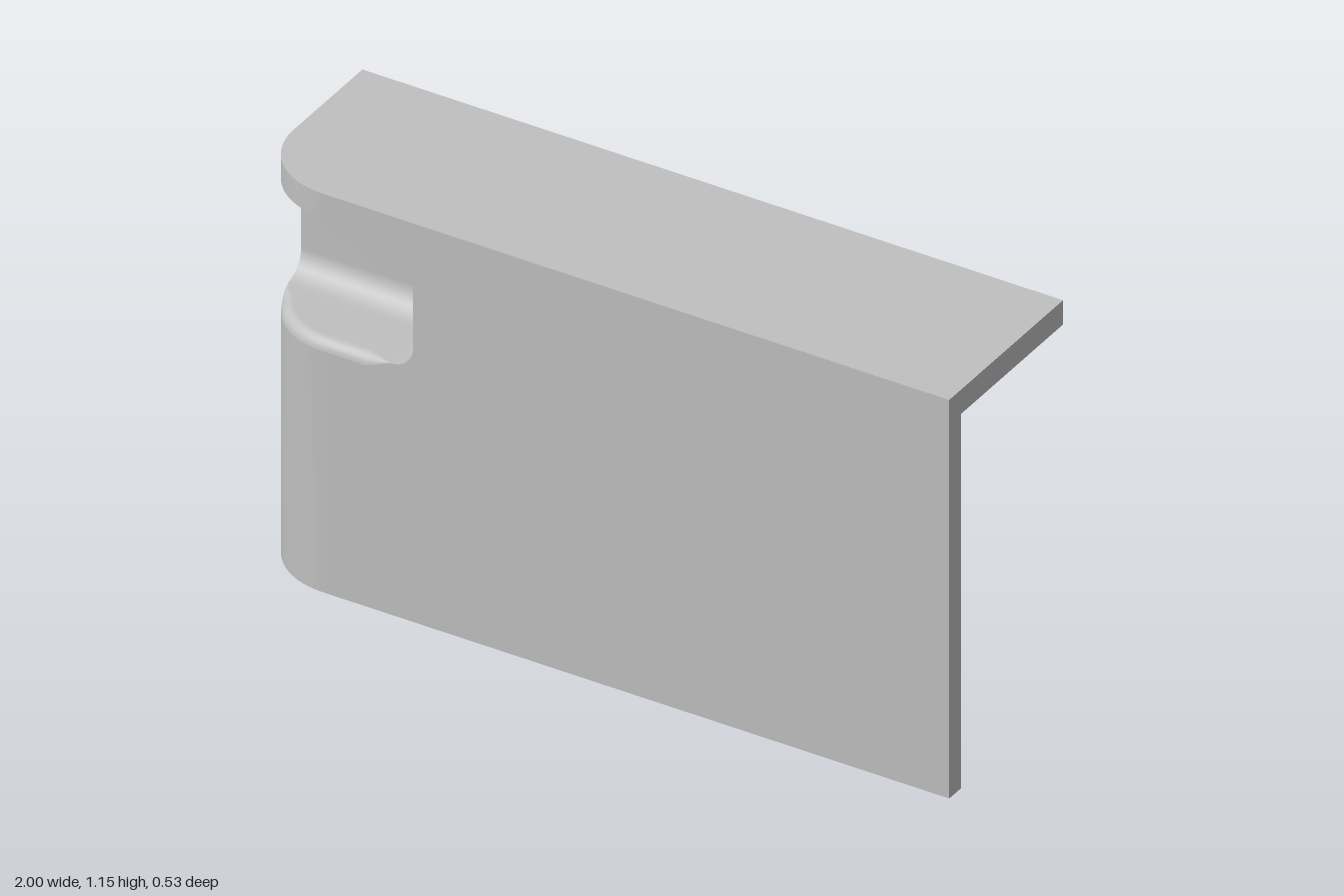
import * as THREE from 'three';

const W = 1, D = 0.265, H = 1.15, CEIL = 1.08;   // half width, half depth, heights
const CX = -0.79, CZ = 0.055;                    // axis of the rounded corner
const ARC = 20, N = ARC + 3, FLAT = 8;           // points per recess ring
const V = (x, y, z) => new THREE.Vector3(x, y, z);

// Smooth surface through equal-length rows of points
function grid(rows) {
  const n = rows[0].length, index = [];
  for (let r = 0; r < rows.length - 1; r++) {
    for (let i = 0; i < n - 1; i++) {
      const a = r * n + i, b = a + n;
      index.push(a, b, a + 1, a + 1, b, b + 1);
    }
  }
  const g = new THREE.BufferGeometry().setFromPoints(rows.flat());
  g.setIndex(index);
  g.computeVertexNormals();
  return g;
}

// One skin of the shell: R is the corner radius, the rest describes the recess
function skin({ R, xr, zb, floor, fillet, corner, lip }) {
  const front = CZ + R, side = CX - R;
  const edgeX = z => (z <= CZ ? side : CX - Math.sqrt(R * R - (z - CZ) ** 2));

  // Recess outline at a given inset and height, from front wall to side wall
  const ring = (inset, y) => {
    const pts = [V(xr - inset, y, front)], r = corner - inset;
    for (let i = 0; i <= ARC; i++) {
      const t = (i / ARC) * Math.PI / 2;
      pts.push(V(xr - corner + r * Math.cos(t), y, zb + corner - r * Math.sin(t)));
    }
    pts.push(V(edgeX(zb + inset), y, zb + inset));
    return pts;
  };

  // Recess walls and the fillet into its floor
  const rows = [ring(0, CEIL)];
  for (let i = 0; i <= 8; i++) {
    const a = (i / 8) * Math.PI / 2;
    rows.push(ring(fillet * (1 - Math.cos(a)), floor + fillet * (1 - Math.sin(a))));
  }
  const filletRows = rows.slice(1);

  // Floor edge along the wall, with a lip that fades out at both ends
  const endAngle = Math.asin((zb + fillet - CZ) / R);
  const edge = b => Array.from({ length: N }, (_, i) => {
    const l = lip * Math.min(1, 2.5 * Math.sin(Math.PI * i / (N - 1)));
    const inset = l * (1 - Math.sin(b)), y = floor - l * (1 - Math.cos(b));
    if (i < FLAT) {
      return V(THREE.MathUtils.lerp(xr - fillet, CX, i / FLAT), y, front - inset);
    }
    const p = THREE.MathUtils.lerp(Math.PI / 2, endAngle, (i - FLAT) / (N - 1 - FLAT));
    return V(CX - (R - inset) * Math.cos(p), y, CZ + (R - inset) * Math.sin(p));
  });
  const steps = lip ? 5 : 0;
  for (let i = 0; i < steps; i++) rows.push(edge((i / steps) * Math.PI / 2));
  const rim = edge(Math.PI / 2);
  rows.push(rim);

  // Upper border of the wall, following the recess opening
  const top = [
    V(W, CEIL, front), V(xr, CEIL, front),
    ...filletRows.map(r => r[0]),
    ...rim,
    ...filletRows.map(r => r[N - 1]).reverse(),
    V(side, CEIL, zb), V(side, CEIL, -D),
  ];
  const base = top.map(p => V(p.x, 0, p.z));
  return { recess: rows, top, base };
}

// Plan of the top plate, with an optional slot in its back edge
function plateShape(slot) {
  const s = new THREE.Shape();
  s.moveTo(W, -D);
  s.lineTo(W, D);
  if (slot) {
    for (const [x, y] of [[-0.81, D], [-0.81, D - 0.03], [-0.905, D - 0.03], [-0.905, D]]) s.lineTo(x, y);
  }
  s.lineTo(-W, D);
  s.lineTo(-W, -CZ);
  s.absarc(CX, -CZ, 0.21, Math.PI, Math.PI * 1.5, false);
  s.closePath();
  return s;
}

export function createModel() {
  const grey = new THREE.MeshStandardMaterial({ color: 0xc0c0c0, side: THREE.DoubleSide });
  grey.name = 'grey';
  const model = new THREE.Group();
  model.name = 'cornerPanel';
  const add = (name, geometry) => {
    const m = new THREE.Mesh(geometry, grey);
    m.name = name;
    model.add(m);
    return m;
  };

  // Top plate in three layers, the middle one slotted
  const levels = [CEIL, 1.102, 1.128, H];
  ['plateBottom', 'plateSlotLayer', 'plateTop'].forEach((name, i) => {
    const g = new THREE.ExtrudeGeometry(plateShape(i === 1), {
      depth: levels[i + 1] - levels[i], bevelEnabled: false, curveSegments: 28,
    });
    add(name, g.rotateX(-Math.PI / 2).translate(0, levels[i], 0));
  });

  // Outer and inner skins of the wall and recess
  const outer = skin({ R: 0.21, xr: -0.53, zb: 0.02, floor: 0.725, fillet: 0.065, corner: 0.1, lip: 0.03 });
  const inner = skin({ R: 0.155, xr: -0.48, zb: -0.03, floor: 0.68, fillet: 0.115, corner: 0.15, lip: 0 });
  add('outerWall', grid([outer.top, outer.base]));
  add('innerWall', grid([inner.base, inner.top]));
  add('recessOutside', grid(outer.recess));
  add('recessInside', grid(inner.recess.map(r => [...r].reverse())));

  // Bottom rim and the two open ends of the wall
  add('bottomRim', grid([outer.base, inner.base]));
  const last = outer.top.length - 1;
  [['frontWallEnd', 0], ['sideWallEnd', last]].forEach(([name, i]) => {
    add(name, grid([[outer.top[i], outer.base[i]], [inner.top[i], inner.base[i]]]));
  });

  return model;
}
